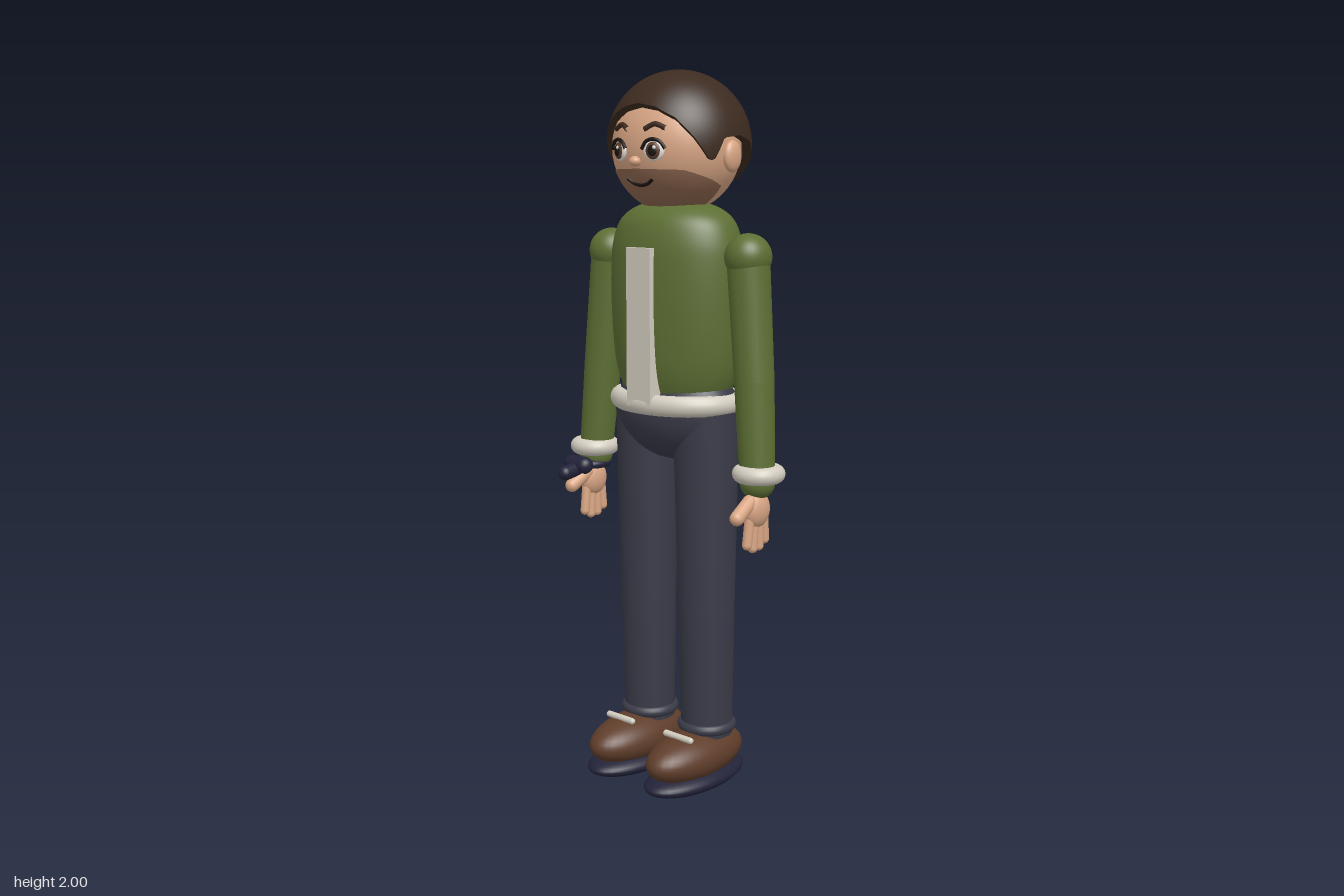
import * as THREE from 'three';
import { mergeGeometries } from 'three/addons/utils/BufferGeometryUtils.js';

const mat = (name, color, side = THREE.FrontSide) => {
  const m = new THREE.MeshStandardMaterial({ color, side });
  m.name = name;
  return m;
};
const V = (x, y, z) => new THREE.Vector3(x, y, z);

// Piecewise linear lookup in [key, value] pairs
function lookup(table, k) {
  for (let i = 1; i < table.length; i++) {
    const [a, va] = table[i - 1], [b, vb] = table[i];
    if (k <= b) return va + (vb - va) * (k - a) / (b - a);
  }
  return table[table.length - 1][1];
}

// Patch of an ellipsoid between two heights that vary with the angle from the front
function shell(c, r, maxAngle, topY, bottomY, rim = 0.9) {
  const point = (u, v, scale) => {
    const a = (u * 2 - 1) * maxAngle, deg = Math.abs(THREE.MathUtils.radToDeg(a));
    const th = y => Math.acos(THREE.MathUtils.clamp((y - c.y) / r.y, -1, 1));
    const t = THREE.MathUtils.lerp(th(bottomY(deg)), th(topY(deg)), v);
    return V(Math.sin(a) * Math.sin(t) * r.x, Math.cos(t) * r.y, Math.cos(a) * Math.sin(t) * r.z)
      .multiplyScalar(scale).add(c);
  };
  const build = (rows, fn) => {
    const g = new THREE.PlaneGeometry(1, 1, 144, rows), p = g.attributes.position, uv = g.attributes.uv;
    for (let i = 0; i < p.count; i++) {
      const q = fn(uv.getX(i), uv.getY(i));
      p.setXYZ(i, q.x, q.y, q.z);
    }
    g.computeVertexNormals();
    return g;
  };
  const skin = build(24, (u, v) => point(u, v, 1));
  const n = skin.attributes.normal, p = skin.attributes.position;
  for (let i = 0; i < p.count; i++) {
    const q = V(p.getX(i), p.getY(i), p.getZ(i)).sub(c).divide(r).divide(r).normalize();
    n.setXYZ(i, q.x, q.y, q.z);
  }
  return mergeGeometries([skin, build(1, (u, v) => point(u, 0, rim + (1 - rim) * v))]);
}

export function createModel() {
  const model = new THREE.Group();
  const hair = mat('hair brown', 0x3d2b20, THREE.DoubleSide), skin = mat('skin', 0xd9a684);
  const green = mat('jacket green', 0x5d6f34), cream = mat('cream trim', 0xd2ccbf);
  const denim = mat('trouser slate', 0x3a3b48), leather = mat('shoe brown', 0x5f3d2a);
  const navy = mat('dark navy', 0x23233a), stubble = mat('stubble', 0x8f6850, THREE.DoubleSide);
  const black = mat('feature black', 0x1c1512), white = mat('eye white', 0xf2eee8);

  const add = (name, geo, material, pos = V(0, 0, 0), parent = model) => {
    const m = new THREE.Mesh(geo, material);
    m.name = name;
    m.position.copy(pos);
    parent.add(m);
    return m;
  };
  const ball = (name, material, pos, rx, ry = rx, rz = rx, parent = model) => {
    const m = add(name, new THREE.SphereGeometry(1, 36, 24), material, pos, parent);
    m.scale.set(rx, ry, rz);
    return m;
  };
  const aim = (m, a, b) => {
    m.quaternion.setFromUnitVectors(V(0, 1, 0), b.clone().sub(a).normalize());
    return m;
  };
  const limb = (name, material, a, b, ra, rb, parent) =>
    aim(add(name, new THREE.CylinderGeometry(rb, ra, a.distanceTo(b), 32), material, a.clone().lerp(b, 0.5), parent), a, b);
  const pill = (name, material, a, b, r, parent) =>
    aim(add(name, new THREE.CapsuleGeometry(r, a.distanceTo(b), 8, 16), material, a.clone().lerp(b, 0.5), parent), a, b);
  const ring = (name, material, pos, radius, tube, depth = 1, parent = model) => {
    const g = new THREE.TorusGeometry(radius, tube, 16, 48).rotateX(Math.PI / 2).scale(1, 1, depth);
    return add(name, g, material, pos, parent);
  };

  // Head, stubble and hair
  const hc = V(0, 1.795, -0.015), hr = V(0.183, 0.178, 0.167);
  ball('head', skin, hc, hr.x, hr.y, hr.z);
  const beardLine = [[0, 1.738], [45, 1.735], [75, 1.71], [95, 1.69]];
  add('beard', shell(hc, hr.clone().multiplyScalar(1.012), 1.62, d => lookup(beardLine, d), () => 1.6, 1), stubble);
  const hairLine = [[0, 1.908], [20, 1.897], [38, 1.868], [52, 1.82], [66, 1.757], [70, 1.765], [78, 1.818],
    [95, 1.825], [113, 1.81], [135, 1.76], [155, 1.71], [180, 1.69]];
  add('hair', shell(V(0, 1.8, -0.025), V(0.2, 0.2, 0.195), Math.PI, () => 2, d => lookup(hairLine, d), 0.88), hair);

  // Face
  const faceZ = (x, y) => hc.z + hr.z * Math.sqrt(1 - (x / hr.x) ** 2 - ((y - hc.y) / hr.y) ** 2);
  const faceCurve = (name, pts, r, material, lift) => {
    const path = new THREE.CatmullRomCurve3(pts.map(([x, y]) => V(x, y, faceZ(x, y) + lift)));
    add(name, new THREE.TubeGeometry(path, 20, r, 8), material);
  };
  ball('nose', skin, V(0, 1.757, 0.15), 0.017, 0.014, 0.017);
  faceCurve('mouth', [[-0.045, 1.712], [-0.024, 1.699], [0, 1.695], [0.024, 1.699], [0.045, 1.712]], 0.005, black, 0.003);
  for (const s of [-1, 1]) {
    const side = s > 0 ? 'left' : 'right';
    const eye = new THREE.Group();
    eye.name = side + 'Eye';
    eye.position.set(s * 0.06, 1.785, faceZ(0.06, 1.785));
    eye.rotation.y = s * 0.3;
    model.add(eye);
    ball('eyeWhite', white, V(0, 0, 0), 0.03, 0.027, 0.01, eye);
    ball('iris', leather, V(0, 0, 0.004), 0.022, 0.023, 0.009, eye);
    ball('pupil', black, V(0, 0, 0.008), 0.015, 0.016, 0.007, eye);
    ball('glint', white, V(0.006, 0.008, 0.013), 0.005, 0.005, 0.003, eye);
    const lash = new THREE.CatmullRomCurve3([V(-0.034, 0.004, 0.004), V(-0.02, 0.023, 0.007), V(0, 0.029, 0.008),
      V(0.02, 0.023, 0.007), V(0.034, 0.004, 0.004)]);
    add('eyelash', new THREE.TubeGeometry(lash, 20, 0.005, 8), black, V(0, 0, 0), eye);
    faceCurve(side + 'Eyebrow', [[s * 0.03, 1.84], [s * 0.058, 1.853], [s * 0.088, 1.842]], 0.007, hair, 0.003);
    ball(side + 'Ear', skin, V(s * 0.183, 1.77, -0.03), 0.018, 0.042, 0.032);
  }

  // Jacket body, hem and front strip
  const profile = new THREE.SplineCurve([[0.14, 1.1], [0.172, 1.14], [0.196, 1.22], [0.207, 1.36], [0.207, 1.48],
    [0.198, 1.55], [0.172, 1.605], [0.12, 1.638], [0.06, 1.648], [0, 1.65]].map(p => new THREE.Vector2(...p)));
  add('jacketBody', new THREE.LatheGeometry(profile.getPoints(50), 64).scale(1, 1, 0.71), green, V(0, 0, -0.017));
  ring('jacketHem', cream, V(0, 1.105, -0.016), 0.177, 0.029, 0.78);
  add('frontStrip', new THREE.BoxGeometry(0.086, 0.43, 0.05), cream, V(0, 1.315, 0.117));

  // Hips
  ball('hips', denim, V(0, 1.08, -0.016), 0.198, 0.145, 0.13);

  for (const s of [-1, 1]) {
    const side = s > 0 ? 'left' : 'right';
    const P = (x, y, z) => V(s * x, y, z);

    // Arm
    const arm = new THREE.Group();
    arm.name = side + 'Arm';
    model.add(arm);
    const shoulder = P(0.25, 1.508, -0.018), elbow = P(0.281, 1.18, -0.01), wrist = P(0.303, 0.91, 0);
    ball('shoulder', green, shoulder, 0.063, 0.063, 0.065, arm);
    limb('upperSleeve', green, shoulder, elbow, 0.058, 0.054, arm);
    ball('elbow', green, elbow, 0.054, 0.054, 0.054, arm);
    limb('lowerSleeve', green, elbow, wrist, 0.054, 0.048, arm);
    ball('sleeveEnd', green, wrist, 0.048, 0.045, 0.048, arm);
    ring('cuff', cream, P(0.307, 0.935, 0), 0.048, 0.024, 1, arm);

    // Hand with four fingers and a thumb
    const hand = new THREE.Group();
    hand.name = side + 'Hand';
    model.add(hand);
    ball('palm', skin, P(0.307, 0.838, 0.008), 0.029, 0.05, 0.046, hand);
    [0.046, 0.022, -0.004, -0.028].forEach((z, i) =>
      pill('finger', skin, P(0.307, 0.82, z * 0.8), P(0.306, [0.745, 0.733, 0.735, 0.75][i], z), 0.0135, hand));
    pill('thumb', skin, P(0.305, 0.862, 0.035), P(0.31, 0.828, 0.094), 0.02, hand);

    // Leg
    const leg = new THREE.Group();
    leg.name = side + 'Leg';
    model.add(leg);
    const knee = P(0.11, 0.52, -0.018);
    limb('thigh', denim, knee, P(0.108, 1.07, -0.016), 0.08, 0.092, leg);
    limb('shin', denim, P(0.11, 0.15, -0.022), knee, 0.073, 0.08, leg);
    ring('trouserHem', denim, P(0.11, 0.175, -0.022), 0.068, 0.016, 1, leg);

    // Shoe
    const shoe = new THREE.Group();
    shoe.name = side + 'Shoe';
    model.add(shoe);
    ball('shoeUpper', leather, P(0.11, 0.1, 0.031), 0.09, 0.07, 0.182, shoe);
    ball('sole', navy, P(0.11, 0.037, 0.031), 0.095, 0.037, 0.187, shoe);
    pill('lace', cream, P(0.066, 0.168, 0.103), P(0.156, 0.168, 0.103), 0.009, shoe);
  }

  // Wrist device on the right arm
  const device = new THREE.Group();
  device.name = 'wristDevice';
  model.add(device);
  ring('deviceStrap', navy, V(-0.307, 0.885, 0.01), 0.038, 0.012, 1.15, device);
  pill('deviceBody', navy, V(-0.336, 0.886, 0.066), V(-0.286, 0.886, 0.066), 0.025, device);
  pill('deviceKnob', navy, V(-0.311, 0.875, 0.07), V(-0.311, 0.868, 0.119), 0.021, device);

  return model;
}
